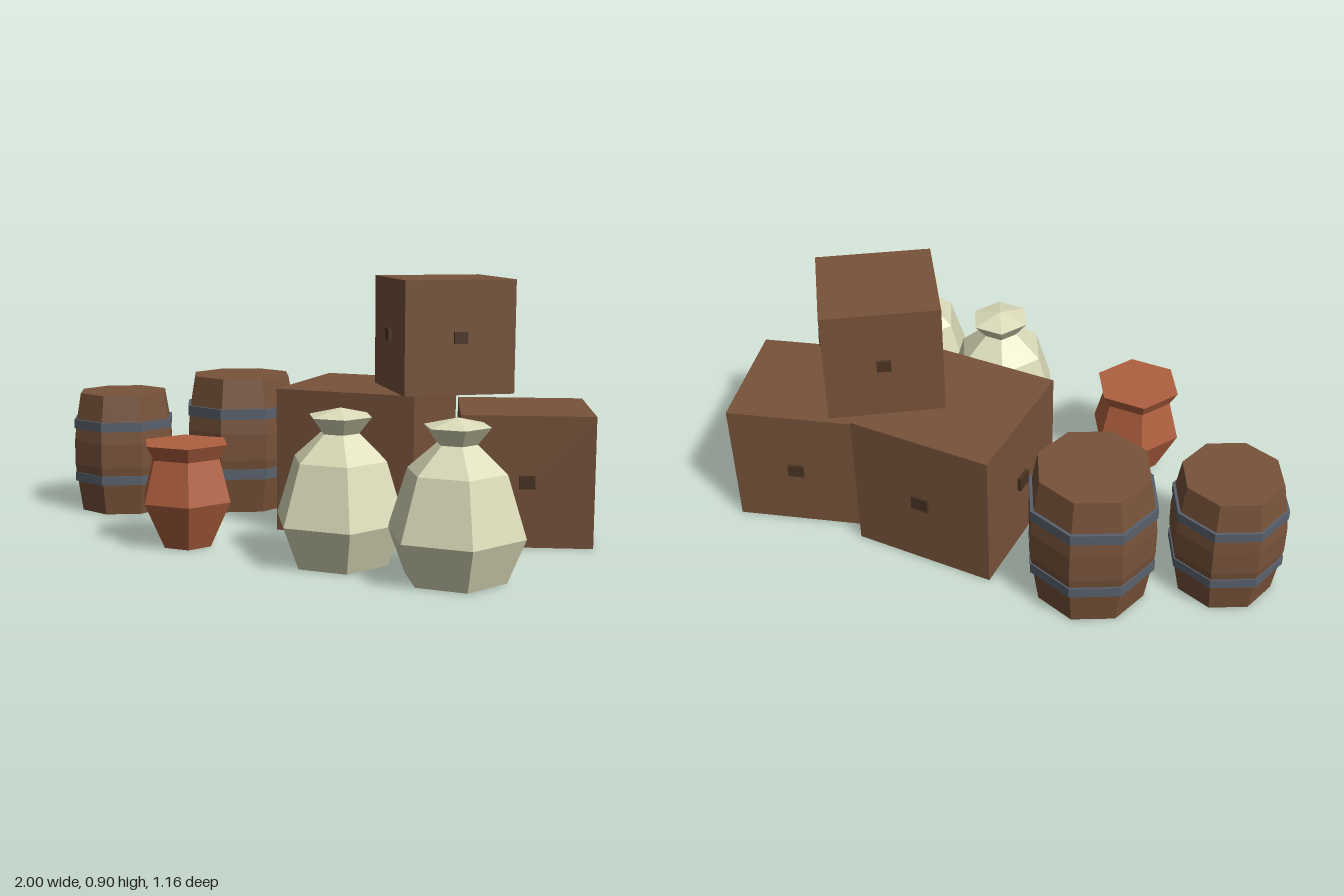
import * as THREE from 'three';

const mat = (name, color) => {
  const m = new THREE.MeshStandardMaterial({ color, flatShading: true });
  m.name = name;
  return m;
};

export function createModel() {
  const crateWood = mat('crate wood', 0x77523a);
  const barrelWood = mat('barrel wood', 0x77523a);
  const handleWood = mat('dark handle', 0x4a3323);
  const iron = mat('iron band', 0x59616d);
  const cloth = mat('sack cloth', 0xdcdcba);
  const clay = mat('pot clay', 0xb0603f);

  const model = new THREE.Group();
  model.name = 'storageGoods';

  const addMesh = (parent, name, geometry, material) => {
    const mesh = new THREE.Mesh(geometry, material);
    mesh.name = name;
    parent.add(mesh);
    return mesh;
  };
  const addGroup = (name, x, y, z, turn = 0) => {
    const g = new THREE.Group();
    g.name = name;
    g.position.set(x, y, z);
    g.rotation.y = turn;
    model.add(g);
    return g;
  };
  // Faceted solid of revolution from [radius, height] pairs, bottom to top
  const turned = (profile, sides, phase) =>
    new THREE.LatheGeometry(profile.map(([r, y]) => new THREE.Vector2(r, y)), sides, phase);

  // Cubic crate with a small handle on each of its four sides
  const addCrate = (name, size, x, y, z, turn) => {
    const crate = addGroup(name, x, y + size / 2, z, turn);
    addMesh(crate, 'crateBody', new THREE.BoxGeometry(size, size, size), crateWood);
    for (let i = 0; i < 4; i++) {
      const a = (i * Math.PI) / 2;
      const handle = addMesh(crate, 'crateHandle',
        new THREE.BoxGeometry(size * 0.12, size * 0.1, size * 0.05), handleWood);
      handle.position.set(Math.sin(a) * size / 2, 0, Math.cos(a) * size / 2);
      handle.rotation.y = a;
    }
  };
  addCrate('largeCrate', 0.51, 0.155, 0, -0.25, 0);
  addCrate('mediumCrate', 0.452, 0.717, 0, -0.298, 0.3);
  addCrate('topCrate', 0.392, 0.434, 0.51, -0.243, 0.597);

  // Eight-sided barrel with two iron bands
  const addBarrel = (name, scale, x, z) => {
    const barrel = addGroup(name, x, 0, z, 0.08);
    barrel.scale.setScalar(scale);
    addMesh(barrel, 'barrelBody', turned([
      [0, 0], [0.17, 0], [0.19, 0.135], [0.197, 0.18], [0.197, 0.27],
      [0.19, 0.335], [0.17, 0.45], [0, 0.45],
    ], 8, 0), barrelWood);
    for (const y of [0.133, 0.335]) {
      addMesh(barrel, 'barrelBand', turned([
        [0.17, y - 0.017], [0.197, y - 0.017], [0.197, y + 0.017], [0.17, y + 0.017],
      ], 8, 0), iron);
    }
  };
  addBarrel('smallBarrel', 1, -0.805, -0.134);
  addBarrel('largeBarrel', 1.13, -0.41, -0.36);

  // Six-sided tied sacks, slightly deeper than wide
  for (const [name, x, z] of [['leftSack', 0.668, 0.374], ['rightSack', 0.262, 0.318]]) {
    const sack = addGroup(name, x, 0, z);
    sack.scale.z = 1.06;
    addMesh(sack, 'sackBody', turned([
      [0, 0], [0.165, 0], [0.223, 0.143], [0.16, 0.34],
      [0.065, 0.425], [0.108, 0.48], [0, 0.506],
    ], 6, Math.PI / 2), cloth);
  }

  // Six-sided clay pot with a flared lip
  const pot = addGroup('clayPot', -0.3, 0, 0.315);
  addMesh(pot, 'potBody', turned([
    [0, 0], [0.09, 0], [0.166, 0.16], [0.127, 0.305], [0.155, 0.355], [0, 0.355],
  ], 6, Math.PI / 2), clay);

  return model;
}
